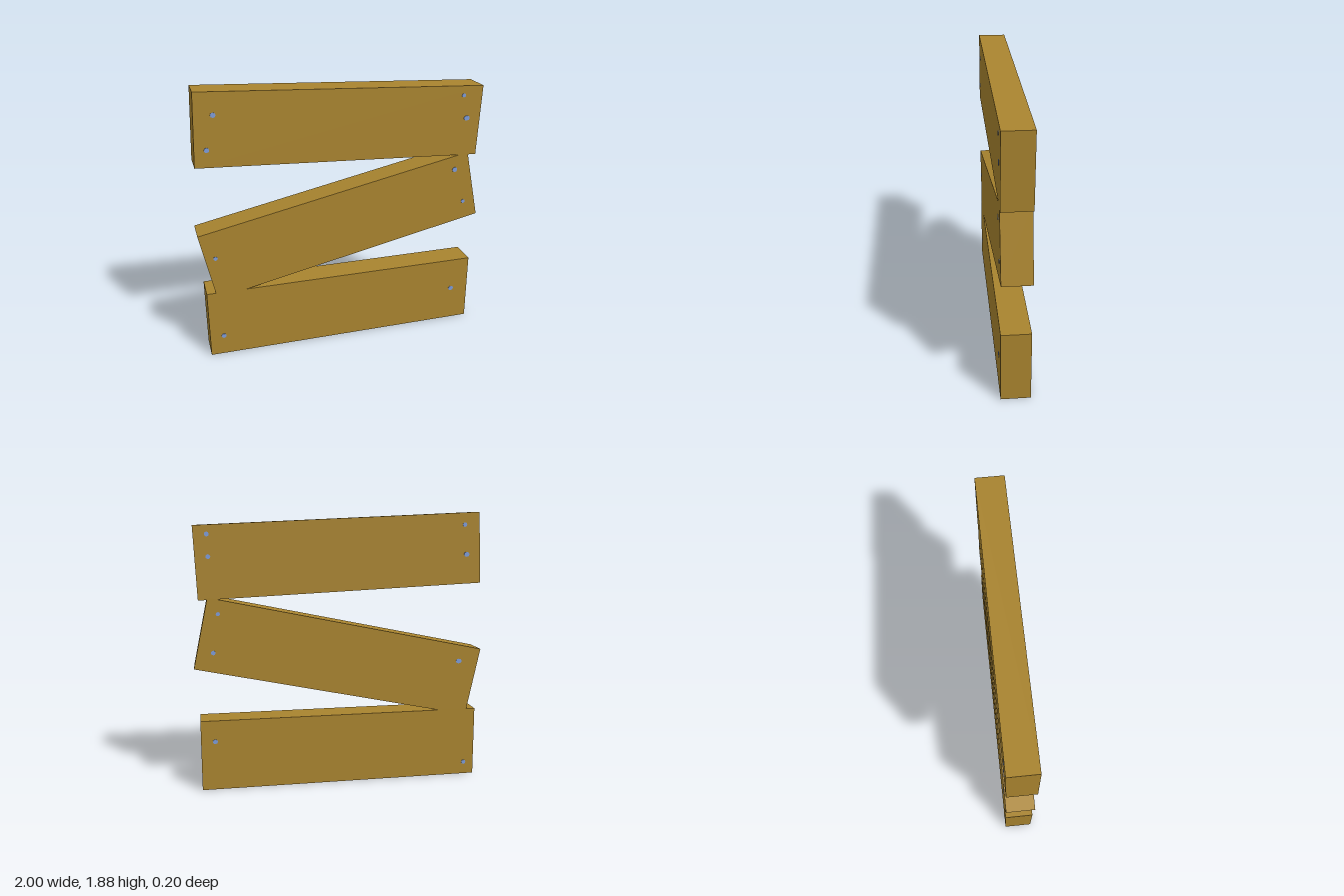
import * as THREE from 'three';

export function createModel() {
  const model = new THREE.Group();
  const wood = new THREE.MeshStandardMaterial({ color: 0xa9842f });
  wood.name = 'wood';
  const steel = new THREE.MeshStandardMaterial({ color: 0x7d9bd8 });
  steel.name = 'blueSteel';

  const LENGTH = 1.94, HEIGHT = 0.486, DEPTH = 0.192;
  const plankGeometry = new THREE.BoxGeometry(LENGTH, HEIGHT, DEPTH);

  // Flat nail head, axis along z
  const nailGeometry = new THREE.CylinderGeometry(1, 1, 0.006, 8);
  nailGeometry.rotateX(Math.PI / 2);

  // Each plank: centre height, tilt, and nails as [x, y, radiusX, radiusY]
  const planks = [
    {
      name: 'bottomPlank', y: 0.243, tilt: 0,
      front: [[-0.875, 0.142, 0.018, 0.017], [0.84, 0.25, 0.02, 0.018]],
      back: [[0.875, 0.34, 0.018, 0.016], [-0.898, 0.087, 0.016, 0.016]],
    },
    {
      name: 'middlePlank', y: 0.883, tilt: 0.209,
      front: [[0.808, 1.203, 0.019, 0.018], [0.888, 0.955, 0.015, 0.014], [-0.893, 0.747, 0.015, 0.015]],
      back: [[0.832, 1.212, 0.014, 0.014], [0.87, 0.953, 0.016, 0.016], [-0.84, 0.838, 0.022, 0.017]],
    },
    {
      name: 'topPlank', y: 1.59, tilt: -0.045,
      front: [[-0.843, 1.725, 0.018, 0.017], [-0.897, 1.503, 0.017, 0.017],
        [0.84, 1.73, 0.015, 0.014], [0.872, 1.57, 0.022, 0.018]],
      back: [[0.89, 1.733, 0.016, 0.016], [0.885, 1.588, 0.016, 0.016],
        [-0.856, 1.79, 0.016, 0.016], [-0.875, 1.588, 0.02, 0.017]],
    },
  ];

  for (const { name, y, tilt, front, back } of planks) {
    const plank = new THREE.Mesh(plankGeometry, wood);
    plank.name = name;
    plank.position.y = y;
    plank.rotation.z = tilt;
    model.add(plank);

    // Nail heads set almost flush into both faces
    for (const [side, nails] of [[1, front], [-1, back]]) {
      for (const [nx, ny, rx, ry] of nails) {
        const nail = new THREE.Mesh(nailGeometry, steel);
        nail.name = name + (side > 0 ? 'FrontNail' : 'BackNail');
        nail.position.set(nx, ny, side * DEPTH / 2);
        nail.scale.set(rx, ry, 1);
        model.add(nail);
      }
    }
  }
  return model;
}
